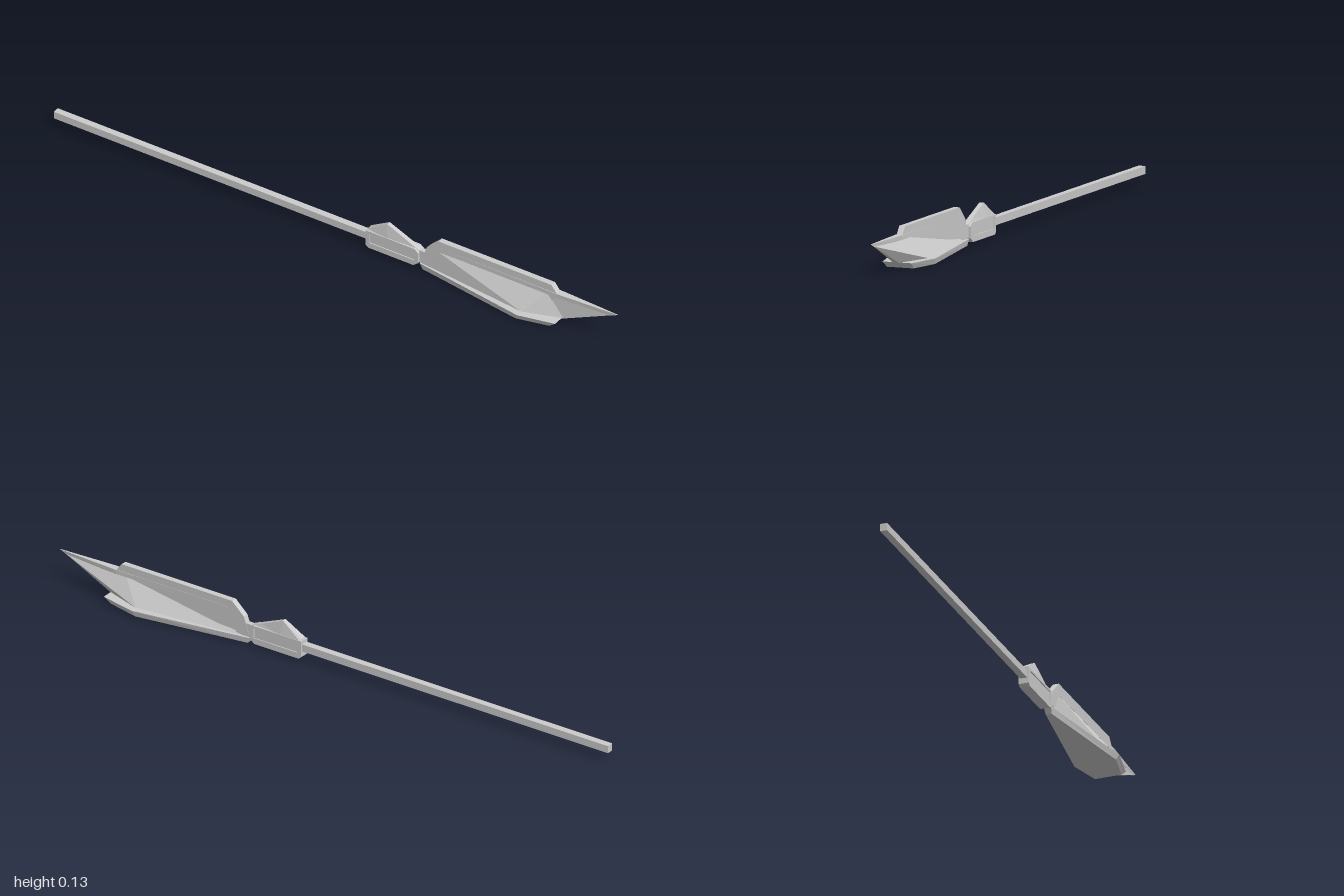
import * as THREE from 'three';

const material = new THREE.MeshStandardMaterial({ color: 0xcccccc, flatShading: true, side: THREE.DoubleSide });

function addMesh(group, name, geometry) {
  const mesh = new THREE.Mesh(geometry, material);
  mesh.name = name;
  group.add(mesh);
  return mesh;
}

// Side profile in (length, height), extruded to a centred width
function slab(points, width, hole) {
  const shape = new THREE.Shape(points.map(p => new THREE.Vector2(...p)));
  if (hole) shape.holes.push(new THREE.Path(hole.map(p => new THREE.Vector2(...p))));
  return new THREE.ExtrudeGeometry(shape, { depth: width, bevelEnabled: false })
    .translate(0, 0, -width / 2)
    .rotateY(-Math.PI / 2);
}

// Four-sided loft; a section is [[halfWidth, y, z] of its base, same of its top]
function loft(sections) {
  const rings = sections.map(([b, t]) => [
    [-b[0], b[1], b[2]], [b[0], b[1], b[2]], [t[0], t[1], t[2]], [-t[0], t[1], t[2]],
  ]);
  const pos = [];
  const quad = (a, b, c, d) => pos.push(...a, ...b, ...c, ...a, ...c, ...d);
  for (let i = 0; i < rings.length - 1; i++) {
    for (let j = 0; j < 4; j++) {
      const k = (j + 1) % 4;
      quad(rings[i][j], rings[i][k], rings[i + 1][k], rings[i + 1][j]);
    }
  }
  quad(...[...rings[0]].reverse());
  quad(...rings[rings.length - 1]);
  const geometry = new THREE.BufferGeometry();
  geometry.setAttribute('position', new THREE.Float32BufferAttribute(pos, 3));
  geometry.computeVertexNormals();
  return geometry;
}

export function createModel() {
  const model = new THREE.Group();
  model.name = 'spear';

  // Long square shaft
  addMesh(model, 'shaft', new THREE.BoxGeometry(0.023, 0.025, 1.2).translate(0, 0.047, -0.456));

  // Collar: core, raised frame on both sides, crest on top
  const outline = [[0.12, 0.016], [0.13, 0.008], [0.3, 0.008], [0.318, 0.022],
    [0.318, 0.06], [0.305, 0.071], [0.12, 0.071]];
  const panel = [[0.135, 0.028], [0.135, 0.063], [0.302, 0.063], [0.302, 0.028]];
  addMesh(model, 'collarCore', slab(outline, 0.027));
  addMesh(model, 'collarFrame', slab(outline, 0.034, panel));
  addMesh(model, 'collarCrest', loft([
    [[0.016, 0.066, 0.122], [0.010, 0.076, 0.124]],
    [[0.016, 0.066, 0.200], [0.007, 0.118, 0.196]],
    [[0.010, 0.066, 0.318], [0.007, 0.082, 0.280]],
  ]));

  // Neck joining the collar to the head
  addMesh(model, 'neck', new THREE.BoxGeometry(0.018, 0.045, 0.08).translate(0, 0.044, 0.335));

  // Flared base plate with undercut edges
  addMesh(model, 'basePlate', loft([
    [[0.010, 0, 0.33], [0.012, 0.02, 0.32]],
    [[0.070, 0, 0.72], [0.077, 0.02, 0.73]],
    [[0.045, 0, 0.83], [0.050, 0.02, 0.855]],
  ]));

  // Steep-sided blade running out to a point
  addMesh(model, 'blade', loft([
    [[0.007, 0.019, 0.32], [0.006, 0.095, 0.36]],
    [[0.053, 0.019, 0.73], [0.009, 0.095, 0.80]],
    [[0.010, 0.019, 0.86], [0.001, 0.095, 1.035]],
  ]));

  // Narrow rim along the top edge of the blade
  addMesh(model, 'bladeRim', loft([
    [[0.010, 0.090, 0.355], [0.010, 0.105, 0.365]],
    [[0.012, 0.090, 0.83], [0.012, 0.105, 0.85]],
    [[0.001, 0.090, 1.025], [0.001, 0.105, 1.059]],
  ]));

  // Spine standing above the blade
  addMesh(model, 'spine', slab(
    [[0.325, 0.03], [0.345, 0.088], [0.39, 0.13], [0.815, 0.13], [0.838, 0.1], [0.80, 0.05]], 0.02));

  // The whole spear lies turned across the ground
  model.rotation.y = Math.atan2(0.354, 1);
  const root = new THREE.Group();
  root.add(model);
  return root;
}
